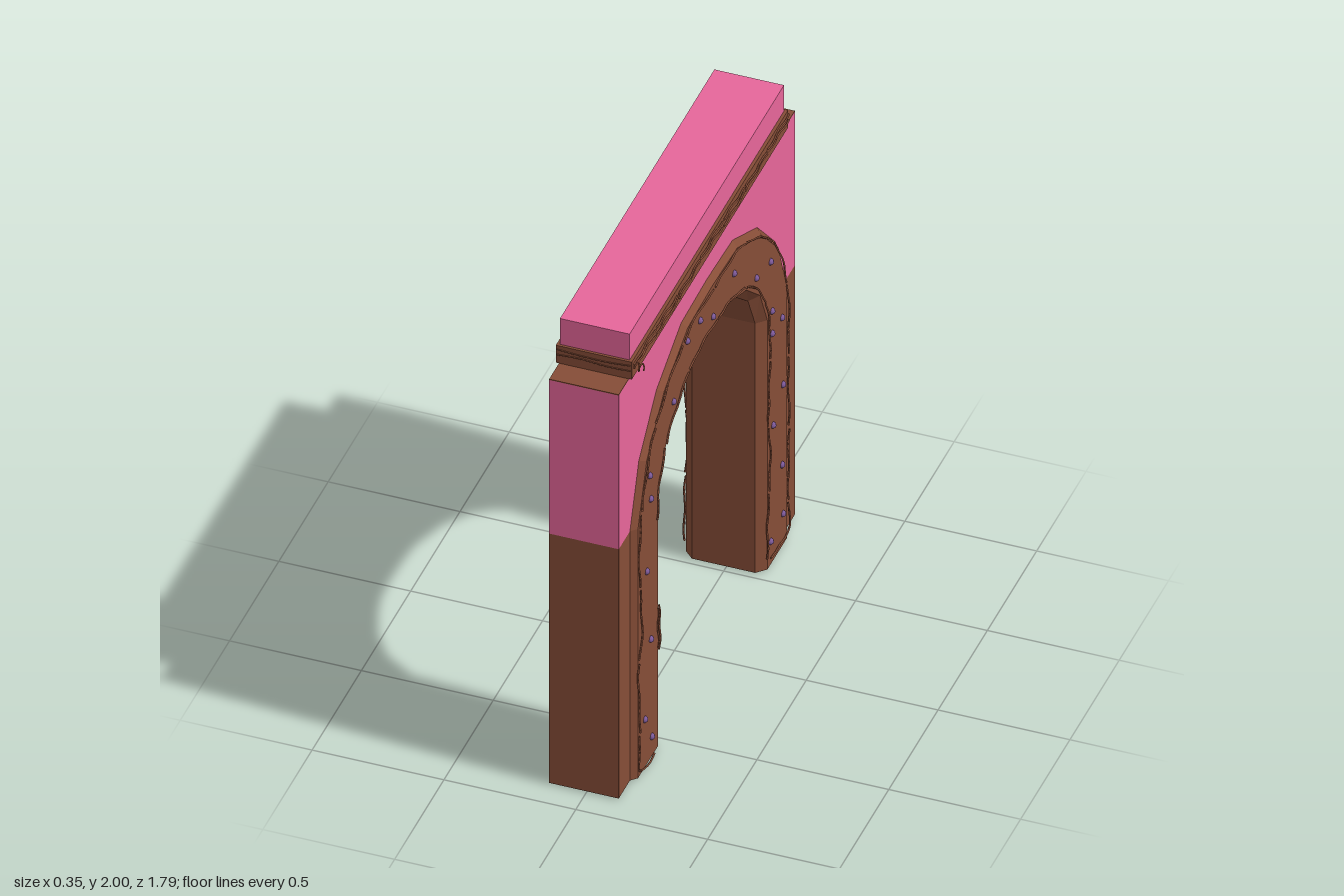
import * as THREE from 'three';

const pink = new THREE.MeshStandardMaterial({ color: 0xe8679b });
pink.name = 'pink plaster';
const brown = new THREE.MeshStandardMaterial({ color: 0x864d37, side: THREE.DoubleSide });
brown.name = 'brown wood';
const purple = new THREE.MeshStandardMaterial({ color: 0x7d5a9a });
purple.name = 'purple stud';

const WALL = 0.132;  // half thickness of the wall
const TRIM = 0.154;  // half thickness of the arch trim

// Half profile of the arch: [outer u, outer y, inner u, inner y], foot to crown (u = -z)
const HALF = [
  [0.78, 0.01, 0.522, 0.01], [0.78, 1.12, 0.522, 1.12], [0.69, 1.37, 0.45, 1.27],
  [0.51, 1.56, 0.32, 1.38], [0.26, 1.68, 0.165, 1.437], [0, 1.69, 0, 1.455],
];
const STATIONS = [
  ...HALF.map(([a, b, c, d]) => [-a, b, -c, d]),
  ...HALF.slice(0, -1).reverse(),
];

function add(group, name, geometry, material) {
  const mesh = new THREE.Mesh(geometry, material);
  mesh.name = name;
  group.add(mesh);
  return mesh;
}

function box(group, name, material, halfX, y0, y1, z0, z1) {
  const m = add(group, name, new THREE.BoxGeometry(halfX * 2, y1 - y0, z1 - z0), material);
  m.position.set(0, (y0 + y1) / 2, (z0 + z1) / 2);
}

// Pink wall with the arch cut out of its lower edge
function wallGeometry() {
  const mid = STATIONS.slice(1, -1).map(([a, b, c, d]) => new THREE.Vector2((a + c) / 2, (b + d) / 2));
  const shape = new THREE.Shape([
    new THREE.Vector2(-0.893, 1.12), ...mid, new THREE.Vector2(0.893, 1.12),
    new THREE.Vector2(0.893, 1.804), new THREE.Vector2(-0.893, 1.804),
  ]);
  const g = new THREE.ExtrudeGeometry(shape, { depth: WALL * 2, bevelEnabled: false });
  return g.translate(0, 0, -WALL).rotateY(Math.PI / 2);
}

// Arch trim: a hollow chamfered section carried along the stations, open at the feet
function trimGeometry() {
  const section = [
    [0, -WALL], [0.09, -TRIM], [0.87, -TRIM], [1, -0.12],
    [1, 0.12], [0.87, TRIM], [0.09, TRIM], [0, WALL],
  ];
  const n = section.length, pos = [], index = [];
  for (const [ou, oy, iu, iy] of STATIONS) {
    for (const [t, x] of section) pos.push(x, oy + (iy - oy) * t, -(ou + (iu - ou) * t));
  }
  for (let s = 0; s < STATIONS.length - 1; s++) {
    for (let k = 0; k < n; k++) {
      const a = s * n + k, b = s * n + (k + 1) % n;
      index.push(a, a + n, b, b, a + n, b + n);
    }
  }
  const g = new THREE.BufferGeometry();
  g.setAttribute('position', new THREE.Float32BufferAttribute(pos, 3));
  g.setIndex(index);
  const flat = g.toNonIndexed();
  flat.computeVertexNormals();
  return flat;
}

// Wavy raised grain, broken into strokes, as [z, y] points on a side face
const GRAIN = [
  [[0.6, 0.012], [0.68, 0.01], [0.75, 0.04], [0.745, 0.25], [0.762, 0.45], [0.725, 0.65], [0.74, 0.8],
    [0.755, 1.0], [0.72, 1.2], [0.64, 1.39], [0.5, 1.53], [0.27, 1.64], [0.12, 1.66], [0, 1.645],
    [-0.12, 1.66], [-0.27, 1.645], [-0.5, 1.53], [-0.66, 1.36], [-0.745, 1.15], [-0.765, 1.0],
    [-0.755, 0.8], [-0.765, 0.5], [-0.755, 0.25], [-0.757, 0.04], [-0.65, 0.04], [-0.56, 0.05]],
  [[0.57, 1.03], [0.555, 1.15], [0.49, 1.29], [0.35, 1.41], [0.17, 1.485], [0, 1.492], [-0.17, 1.48],
    [-0.33, 1.425], [-0.47, 1.31], [-0.56, 1.13], [-0.57, 0.9], [-0.555, 0.7], [-0.575, 0.5],
    [-0.55, 0.25], [-0.545, 0.05]],
  [[0.555, 0.64], [0.545, 0.55], [0.552, 0.43]],
  [[0.56, 0.63], [0.562, 0.53], [0.555, 0.44]],
];

const STUDS = [
  [0.62, 0.1], [0.69, 0.225], [0.63, 0.54], [0.67, 0.87], [0.63, 1.165], [0.64, 1.275], [0.4, 1.435],
  [0.26, 1.605], [0.13, 1.605], [0, 1.53], [-0.215, 1.57], [-0.44, 1.39], [-0.585, 1.36], [-0.6, 1.13],
  [-0.6, 1.03], [-0.7, 1.03], [-0.71, 0.725], [-0.61, 0.615], [-0.7, 0.375], [-0.71, 0.15], [-0.585, 0.115],
];

function strokes(group, name, points, x, count) {
  const curve = new THREE.CatmullRomCurve3(points.map(([z, y]) => new THREE.Vector3(x, y, z)));
  for (let i = 0; i < count; i++) {
    const part = [];
    for (let j = 0; j <= 6; j++) {
      const p = curve.getPointAt((i + 0.95 * j / 6) / count);
      p.x += Math.sign(x) * 0.003 * (1 + Math.sin(i * 2.3 + j * 1.7));
      part.push(p);
    }
    add(group, name, new THREE.TubeGeometry(new THREE.CatmullRomCurve3(part), 12, 0.004, 4), brown);
  }
}

export function createModel() {
  const model = new THREE.Group();
  model.name = 'archway';
  const body = new THREE.Group();
  body.name = 'archBody';
  body.position.x = -0.009;
  model.add(body);

  // Masonry
  add(body, 'upperWall', wallGeometry(), pink);
  add(body, 'archTrim', trimGeometry(), brown);
  box(body, 'wallTopLedge', brown, WALL, 1.804, 1.808, -0.893, 0.893);
  box(body, 'leg', brown, WALL, 0.01, 1.12, 0.775, 0.893);
  box(body, 'leg', brown, WALL, 0.01, 1.12, -0.893, -0.775);
  box(body, 'corniceBand', brown, 0.144, 1.808, 1.885, -0.793, 0.793);
  box(body, 'cap', pink, WALL, 1.885, 2.0, -0.783, 0.783);

  // Grain and studs on both side faces
  const studGeometry = new THREE.SphereGeometry(0.0135, 8, 6);
  for (const side of [1, -1]) {
    GRAIN.forEach((line, i) => strokes(body, 'grainLine', line, side * (TRIM + 0.001), [14, 9, 1, 1][i]));
    for (const [z, y] of STUDS) {
      add(body, 'stud', studGeometry, purple).position.set(side * TRIM, y, z);
    }
  }

  // Grain along the left side of the band and around its front end
  for (const [y, phase] of [[1.845, 0], [1.864, 1.5]]) {
    const wave = [];
    for (let i = 0; i <= 16; i++) wave.push([-0.79 + i * 0.09875, y + 0.007 * Math.sin(i * 0.9 + phase)]);
    strokes(body, 'bandGrain', wave, 0.145, 7);
    const across = [-0.14, -0.05, 0.05, 0.14].map(
      (x, i) => new THREE.Vector3(x, y + 0.004 * Math.sin(i * 2 + phase), 0.794));
    add(body, 'bandEndGrain', new THREE.TubeGeometry(new THREE.CatmullRomCurve3(across), 12, 0.003, 4), brown);
  }

  // Small curl of grain at the front end of the band
  const curl = [];
  for (let i = 0; i <= 12; i++) {
    const a = i * 0.9;
    curl.push(new THREE.Vector3(0.15 + i * 0.0025, 1.852 + 0.014 * Math.sin(a), 0.77 + 0.014 * Math.cos(a)));
  }
  add(body, 'grainCurl', new THREE.TubeGeometry(new THREE.CatmullRomCurve3(curl), 40, 0.0035, 4), brown);

  return model;
}
